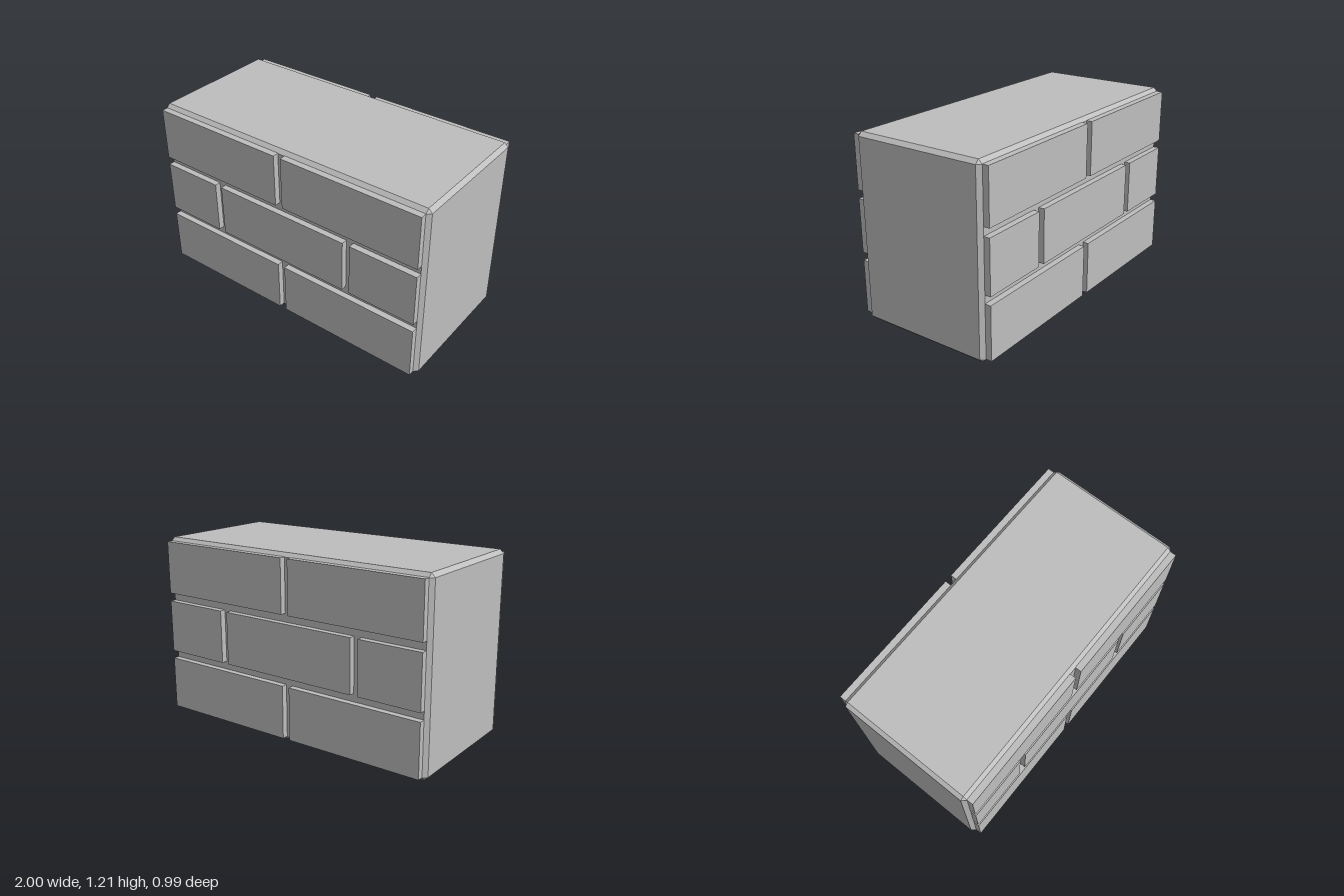
import * as THREE from 'three';

const H = 1.213, HX = 1, HZ = 0.454, C = 0.025; // block height, half sizes, chamfer
const FACE = 0.494;                             // outer face of the bricks
const CEILING = 1.06;                           // height of the hollow

// Horizontal rectangle with cut corners, counter-clockwise from above.
function ring(y, hx, hz, cut = 0) {
  const a = hx - cut, b = hz - cut;
  return [[hx, b], [hx, -b], [a, -hz], [-a, -hz], [-hx, -b], [-hx, b], [-a, hz], [a, hz]]
    .map(([x, z]) => new THREE.Vector3(x, y, z));
}

// Flat-sided skin joining consecutive rings, leaving out empty triangles.
function loft(rings) {
  const points = [];
  const tri = (...t) => {
    if (new THREE.Triangle(...t).getArea() > 1e-7) points.push(...t);
  };
  for (let r = 0; r < rings.length - 1; r++) {
    const lo = rings[r], hi = rings[r + 1];
    for (let i = 0; i < 8; i++) {
      const j = (i + 1) % 8;
      tri(lo[i], lo[j], hi[j]);
      tri(lo[i], hi[j], hi[i]);
    }
  }
  const g = new THREE.BufferGeometry().setFromPoints(points);
  g.computeVertexNormals();
  return g;
}

export function createModel() {
  const model = new THREE.Group();
  model.name = 'brickWallBlock';
  const stone = new THREE.MeshStandardMaterial({ color: 0xbfbfbf, flatShading: true });
  stone.name = 'light grey';
  const add = (name, geometry, x = 0, y = 0, z = 0) => {
    const mesh = new THREE.Mesh(geometry, stone);
    mesh.name = name;
    mesh.position.set(x, y, z);
    model.add(mesh);
    return mesh;
  };

  // Chamfered block, hollow and open underneath
  add('hollowBlock', loft([
    ring(CEILING, 0, 0),
    ring(CEILING, 0.845, 0.34),
    ring(0, 0.845, 0.34),
    ring(0, HX - C, HZ - C),
    ring(C, HX, HZ, C),
    ring(H - C, HX, HZ, C),
    ring(H, HX - C, HZ - C),
    ring(H, 0, 0),
  ]));

  // Eight-sided post inside the hollow
  const post = new THREE.CylinderGeometry(0.2, 0.2, CEILING, 8);
  post.rotateY(Math.PI / 8);
  add('innerPost', post, 0, CEILING / 2, 0);

  // Raised bricks in three courses, the same on front and back
  const halves = [[-0.975, -0.04], [0.01, 0.975]];
  const offset = [[-0.975, -0.55], [-0.5, 0.465], [0.515, 0.975]];
  const courses = [[0.028, 0.38, halves], [0.434, 0.785, offset], [0.84, 1.19, halves]];
  const depth = FACE - HZ + 0.01;
  for (const side of [1, -1]) {
    for (const [y0, y1, bricks] of courses) {
      for (const [x0, x1] of bricks) {
        add(side > 0 ? 'frontBrick' : 'backBrick',
          new THREE.BoxGeometry(x1 - x0, y1 - y0, depth),
          (x0 + x1) / 2, (y0 + y1) / 2, side * (FACE - depth / 2));
      }
    }
  }
  return model;
}
